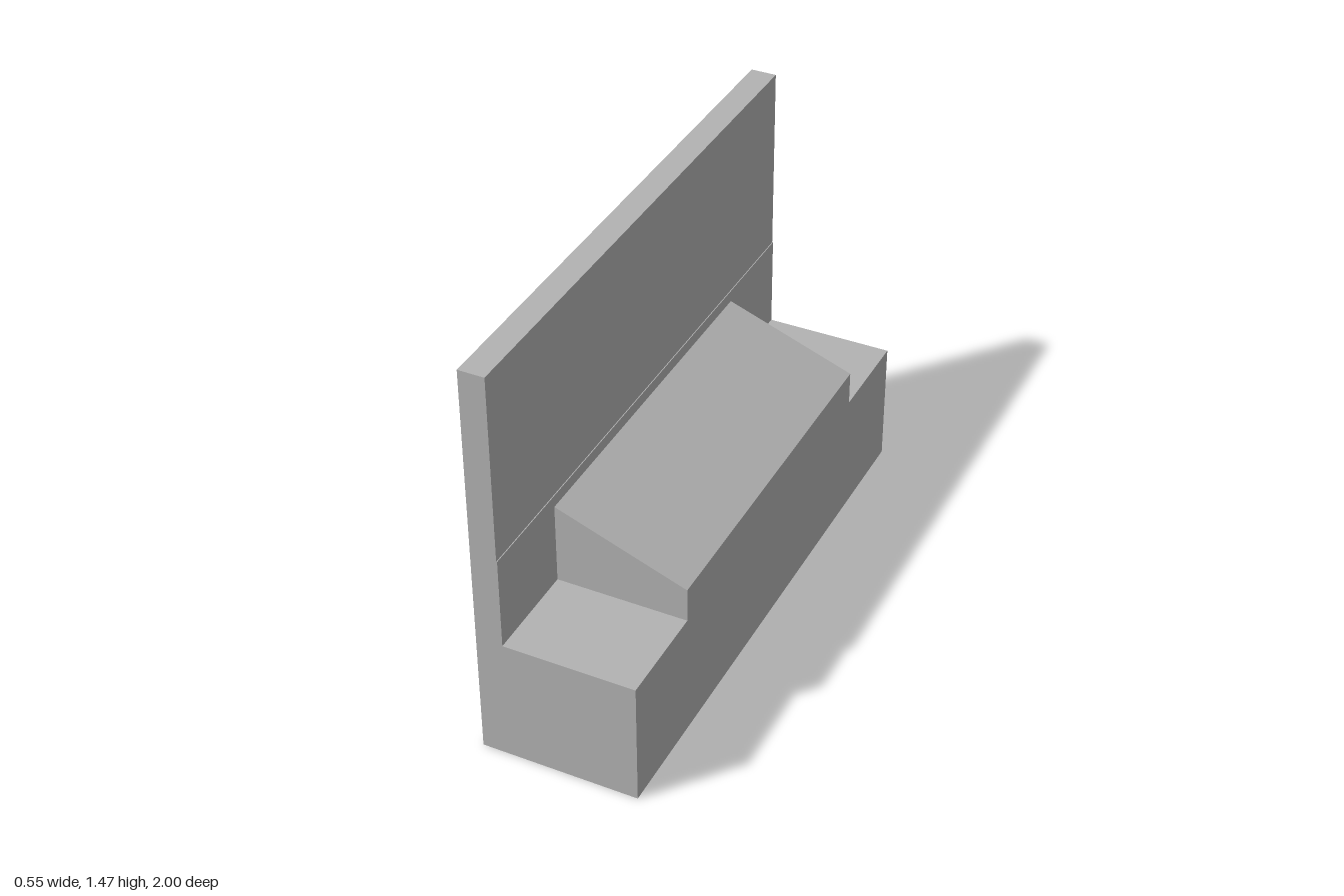
import * as THREE from 'three';

// Extrudes an x/y profile along z, centred on z = 0
function extrudeProfile(name, points, depth, material) {
  const shape = new THREE.Shape(points.map(([x, y]) => new THREE.Vector2(x, y)));
  const geometry = new THREE.ExtrudeGeometry(shape, { depth, bevelEnabled: false });
  geometry.translate(0, 0, -depth / 2);
  const mesh = new THREE.Mesh(geometry, material);
  mesh.name = name;
  return mesh;
}

export function createModel() {
  const group = new THREE.Group();
  group.name = 'steppedBlockWithBackWall';

  const grey = new THREE.MeshStandardMaterial({ color: 0xb2b2b2 });
  grey.name = 'grey';

  const back = -0.277, front = 0.277, wall = -0.183, ledge = 0.455;

  // Base block and tall back wall as one L-shaped section, the wall thinning slightly above 0.79
  group.add(extrudeProfile('baseAndBackWall', [
    [back, 0], [front, 0], [front, ledge], [wall, ledge],
    [wall, 0.79], [wall - 0.003, 0.79], [wall - 0.003, 1.465], [back, 1.465],
  ], 2, grey));

  // Sloped raised block in the middle of the ledge
  group.add(extrudeProfile('slopedBlock', [
    [wall, ledge], [front, ledge], [front, 0.578], [wall, 0.748],
  ], 1.29, grey));

  return group;
}
